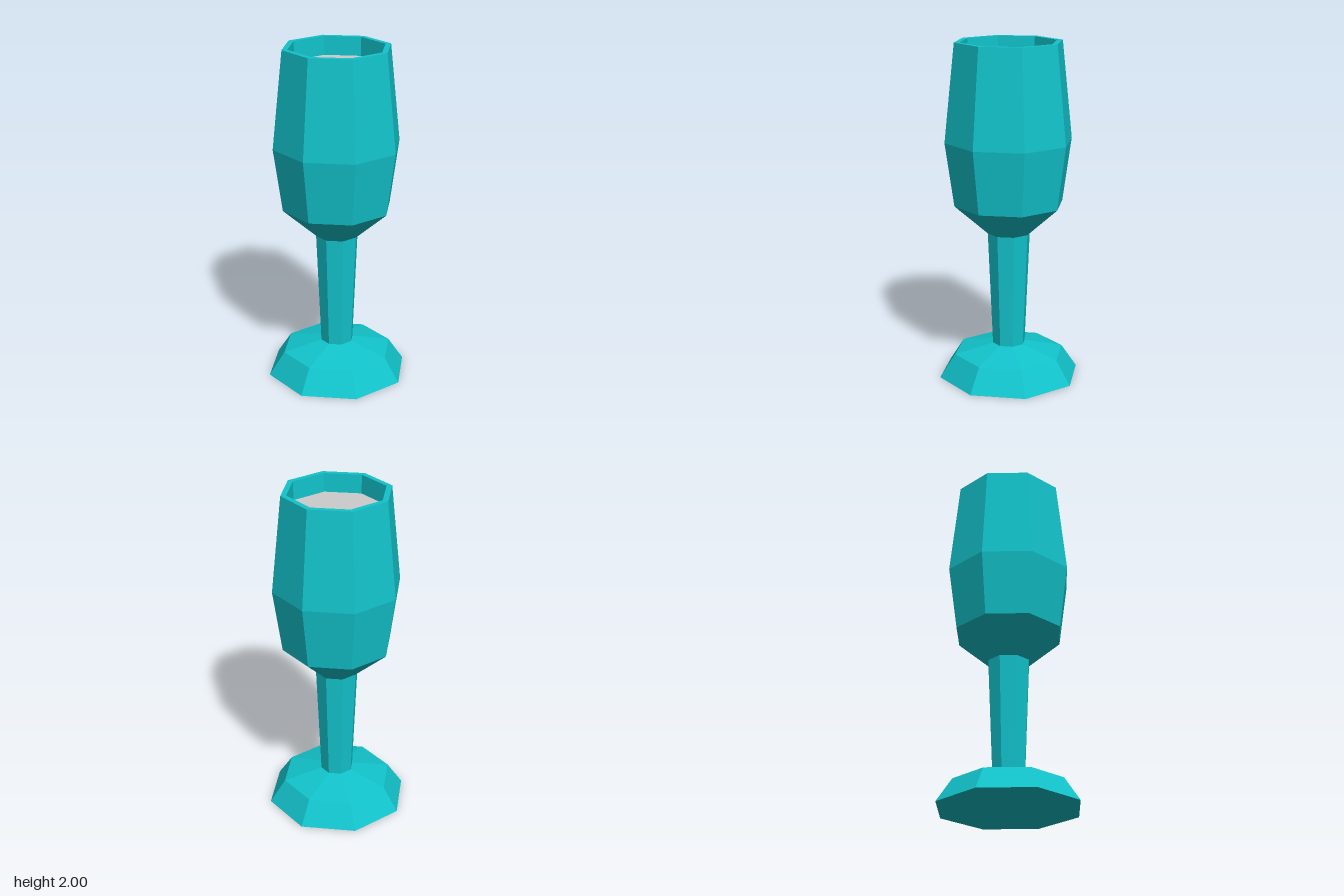
import * as THREE from 'three';

const SIDES = 8;

// Faceted turned part: profile of [radius, height] points revolved about y
function turned(name, profile, material) {
  const points = profile.map(([r, y]) => new THREE.Vector2(r, y));
  const mesh = new THREE.Mesh(new THREE.LatheGeometry(points, SIDES), material);
  mesh.name = name;
  return mesh;
}

export function createModel() {
  const glass = new THREE.MeshStandardMaterial({
    color: 0x12c3cb, flatShading: true, side: THREE.DoubleSide,
  });
  const grey = new THREE.MeshStandardMaterial({ color: 0xcccccc, flatShading: true });

  const goblet = new THREE.Group();
  goblet.name = 'goblet';
  goblet.add(
    // Closed underside, sloped edge and shallow top
    turned('foot', [[0, 0], [0.423, 0], [0.33, 0.14], [0.098, 0.195]], glass),
    // Stem widening upwards
    turned('stem', [[0.098, 0.195], [0.127, 0.88]], glass),
    // Outer wall, flat rim and inner lip down to the drink
    turned('bowl', [
      [0.127, 0.88], [0.324, 1.055], [0.377, 1.43], [0.316, 2], [0.283, 2], [0.279, 1.89],
    ], glass),
    // Flat surface of the drink
    turned('drink', [[0.279, 1.89], [0, 1.89]], grey),
  );
  return goblet;
}
